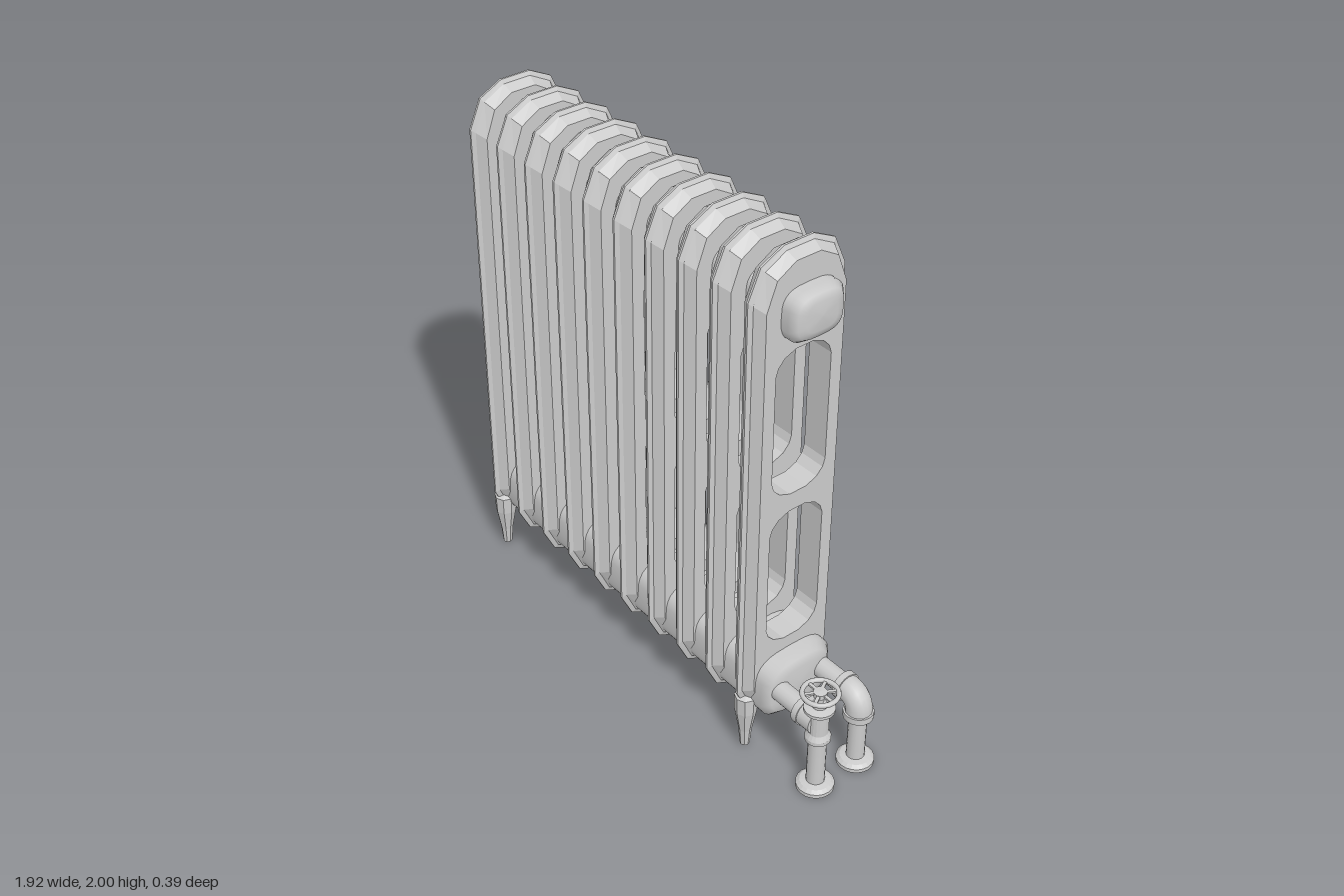
import * as THREE from 'three';

const smooth = new THREE.MeshStandardMaterial({ color: 0xcccccc });
const flat = new THREE.MeshStandardMaterial({ color: 0xcccccc, flatShading: true });

function add(parent, name, geometry, material = smooth, x = 0, y = 0, z = 0) {
  const mesh = new THREE.Mesh(geometry, material);
  mesh.name = name;
  mesh.position.set(x, y, z);
  parent.add(mesh);
  return mesh;
}

// Skin over closed rings of points that follow each other along +x
function loft(rings) {
  const n = rings[0].length, index = [];
  for (let j = 0; j < rings.length - 1; j++) {
    for (let i = 0; i < n; i++) {
      const a = j * n + i, b = j * n + (i + 1) % n;
      index.push(a, a + n, b, b, a + n, b + n);
    }
  }
  const g = new THREE.BufferGeometry();
  g.setAttribute('position', new THREE.Float32BufferAttribute(rings.flat(2), 3));
  g.setIndex(index);
  g.computeVertexNormals();
  return g;
}

// Section outline [z, y], shrunk by d towards its middle
const half = [[0.197, 0.27], [0.197, 1.85], [0.15, 1.955], [0.06, 2.0]];
const lower = [[0.06, 0.13], [0.15, 0.175]];
const outline = [...half, ...half.slice().reverse().map(([z, y]) => [-z, y]),
  ...lower.slice().reverse().map(([z, y]) => [-z, y]), ...lower];
const inset = d => outline.map(([z, y]) =>
  [z * (1 - d / 0.197), 1.065 + (y - 1.065) * (1 - d / 0.935)]);
const vectors = pts => pts.map(([a, b]) => new THREE.Vector2(a, b));

// Window with softened corners
function windowPath(y0, y1) {
  const corner = [[0.115, 0.075], [0.105, 0.045], [0.08, 0.018], [0.035, 0]];
  const top = corner.map(([z, d]) => [z, y1 - d]);
  const bottom = corner.map(([z, d]) => [z, y0 + d]);
  const mirror = list => list.map(([z, y]) => [-z, y]);
  return new THREE.Path(vectors([...top, ...mirror(top).reverse(),
    ...mirror(bottom), ...bottom.reverse()]));
}

function finPlate() {
  const shape = new THREE.Shape(vectors(inset(0.035)));
  shape.holes.push(windowPath(0.47, 1.02), windowPath(1.09, 1.65));
  const g = new THREE.ExtrudeGeometry(shape, { depth: 0.1, bevelEnabled: false });
  return g.translate(0, 0, -0.05).rotateY(-Math.PI / 2);
}

// Sloping rim with a narrow raised ridge
function finRim() {
  const steps = [[-0.05, 0.035], [-0.012, 0.015], [-0.004, 0], [0.004, 0], [0.012, 0.015], [0.05, 0.035]];
  return loft(steps.map(([x, d]) => inset(d).map(([z, y]) => [x, y, z])));
}

// Long header with a soft square section and domed ends
function header(y, z, ry, rz) {
  const steps = [[-0.965, 0], [-0.964, 0.55], [-0.958, 0.82], [-0.935, 1],
    [0.668, 1], [0.692, 0.82], [0.70, 0.55], [0.702, 0]];
  const p = (v, e) => Math.sign(v) * Math.pow(Math.abs(v), e);
  return loft(steps.map(([x, s]) => Array.from({ length: 28 }, (_, i) => {
    const t = i / 28 * Math.PI * 2;
    return [x, y + s * ry * p(Math.sin(t), 0.62), z + s * rz * p(Math.cos(t), 0.62)];
  })));
}

const lathe = (pts, sides = 20) => new THREE.LatheGeometry(vectors(pts), sides);
const rod = (r, len, sides = 16) => new THREE.CylinderGeometry(r, r, len, sides);

// Upright pipe standing on a floor flange, fed from the lower header
function pipe(name, z) {
  const g = new THREE.Group();
  g.name = name;
  g.position.set(0.888, 0, z);
  add(g, 'floorFlange', lathe([[0, 0], [0.068, 0], [0.068, 0.015], [0.055, 0.026], [0.033, 0.03]]), flat);
  add(g, 'uprightPipe', rod(0.033, 0.28), smooth, 0, 0.14, 0);
  add(g, 'supplyPipe', rod(0.038, 0.2).rotateZ(Math.PI / 2), smooth, -0.14, 0.3, 0);
  add(g, 'pipeCollar', rod(0.054, 0.025).rotateZ(Math.PI / 2), smooth, -0.07, 0.3, 0);
  return g;
}

export function createModel() {
  const model = new THREE.Group();
  model.name = 'radiator';

  // Ten identical sections
  const plate = finPlate(), rim = finRim();
  for (let i = 0; i < 10; i++) {
    const fin = new THREE.Group();
    fin.name = 'section' + (i + 1);
    fin.position.x = -0.875 + i * 0.1626;
    add(fin, 'plate', plate, flat);
    add(fin, 'rim', rim, flat);
    model.add(fin);
  }

  // Headers joining the sections
  add(model, 'upperHeader', header(1.782, -0.01, 0.093, 0.113));
  add(model, 'lowerHeader', header(0.292, 0, 0.128, 0.157));

  // Feet under the end sections
  const foot = lathe([[0, 0.01], [0.018, 0.01], [0.024, 0.08], [0.04, 0.17], [0.042, 0.24], [0, 0.26]], 8);
  for (const x of [-0.875, 0.588]) {
    for (const z of [-0.152, 0.152]) add(model, 'foot', foot, flat, x, 0, z);
  }

  // Front pipe with valve and handwheel
  const valve = pipe('valvePipe', 0.09);
  add(valve, 'valveInlet', rod(0.05, 0.08).rotateZ(Math.PI / 2), smooth, -0.04, 0.3, 0);
  add(valve, 'valveBody', lathe([[0.033, 0.215], [0.046, 0.225], [0.046, 0.24], [0.036, 0.26], [0.036, 0.35],
    [0.055, 0.358], [0.055, 0.37], [0.026, 0.375], [0.026, 0.385], [0.013, 0.395], [0.013, 0.41],
    [0.024, 0.42], [0.024, 0.438], [0, 0.44]]), flat);
  const wheel = new THREE.Group();
  wheel.name = 'handwheel';
  wheel.position.y = 0.432;
  add(wheel, 'wheelRim', new THREE.TorusGeometry(0.062, 0.009, 8, 24).rotateX(Math.PI / 2));
  for (let i = 0; i < 6; i++) {
    const spoke = add(wheel, 'spoke', new THREE.BoxGeometry(0.05, 0.008, 0.012).translate(0.038, 0, 0));
    spoke.rotation.y = i * Math.PI / 3;
  }
  valve.add(wheel);
  model.add(valve);

  // Back pipe with elbow
  const back = pipe('elbowPipe', -0.1);
  const bend = new THREE.QuadraticBezierCurve3(new THREE.Vector3(-0.07, 0.3, 0),
    new THREE.Vector3(0.008, 0.308, 0), new THREE.Vector3(0, 0.22, 0));
  add(back, 'elbow', new THREE.TubeGeometry(bend, 10, 0.048, 16));
  add(back, 'elbowCollar', rod(0.055, 0.025), smooth, 0, 0.228, 0);
  model.add(back);

  return model;
}
